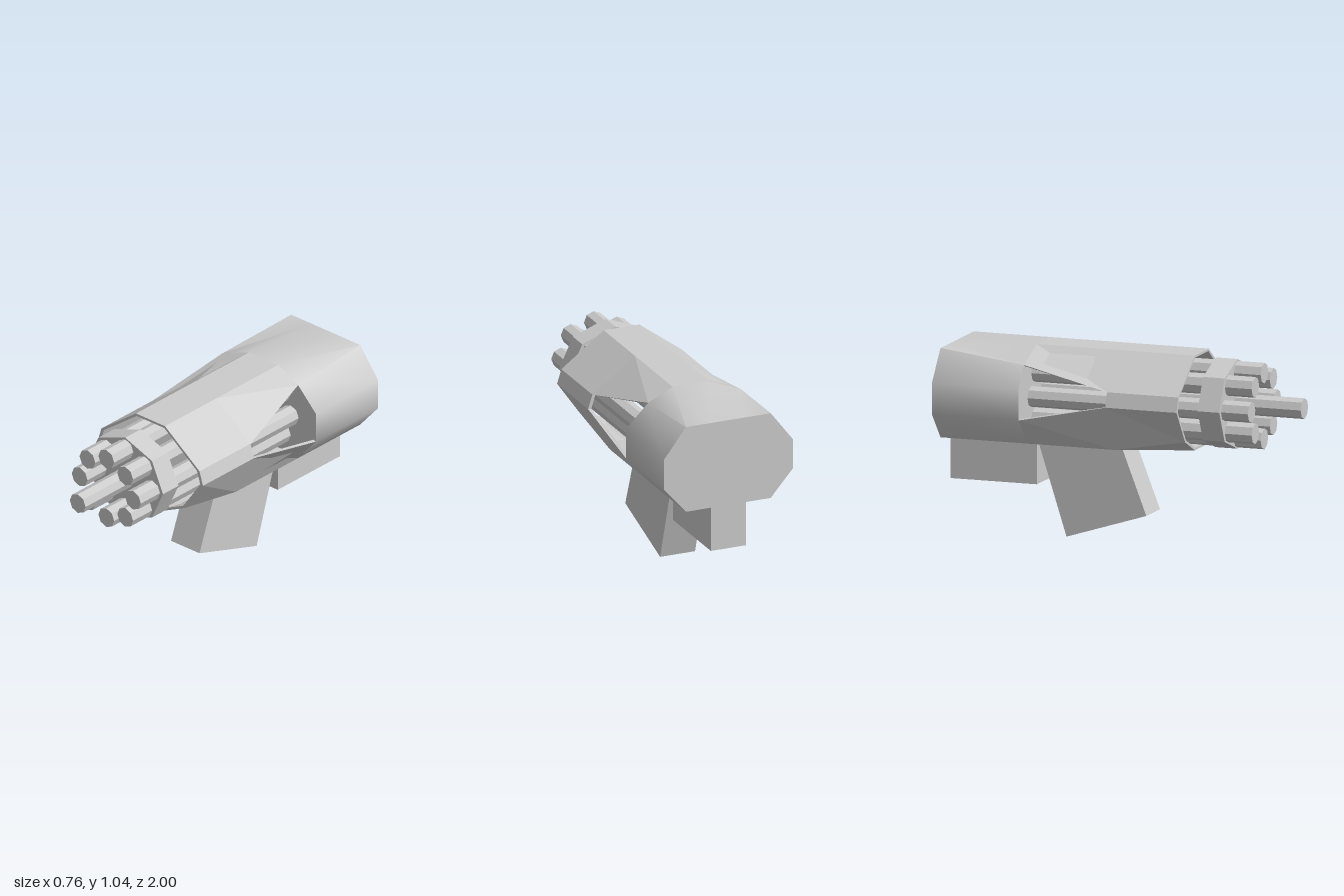
import * as THREE from 'three';
import { toCreasedNormals } from 'three/addons/utils/BufferGeometryUtils.js';

const flat = new THREE.MeshStandardMaterial({ color: 0xcccccc, flatShading: true, side: THREE.DoubleSide });
const smooth = new THREE.MeshStandardMaterial({ color: 0xcccccc });

// Joins closed counter-clockwise cross-sections { z, pts } from front to back and caps the ends.
function loft(sections) {
  const pos = [];
  const put = (s, i) => pos.push(s.pts[i][0], s.pts[i][1], s.z);
  for (let k = 0; k < sections.length - 1; k++) {
    const p = sections[k], q = sections[k + 1], n = p.pts.length;
    for (let i = 0; i < n; i++) {
      const j = (i + 1) % n;
      put(q, i); put(q, j); put(p, j);
      put(q, i); put(p, j); put(p, i);
    }
  }
  const cap = (s, flip) => {
    const contour = s.pts.map(([x, y]) => new THREE.Vector2(x, y));
    for (const [a, b, c] of THREE.ShapeUtils.triangulateShape(contour, [])) {
      for (const i of flip ? [c, b, a] : [a, b, c]) put(s, i);
    }
  };
  cap(sections[0], false);
  cap(sections[sections.length - 1], true);
  const g = new THREE.BufferGeometry();
  g.setAttribute('position', new THREE.Float32BufferAttribute(pos, 3));
  g.computeVertexNormals();
  return g;
}

// Gives an open outline a wall by adding a slightly smaller copy inside it.
const CY = 0.785;
function wall(z, outer) {
  const inner = outer.map(([x, y]) => [x * 0.95, CY + (y - CY) * 0.95]).reverse();
  return { z, pts: [...outer, ...inner] };
}

// Completes a right-hand outline with its mirror image.
const mirrored = (pts) => [...pts, ...pts.map(([x, y]) => [-x, y]).reverse()];

export function createModel() {
  const model = new THREE.Group();
  const add = (name, geometry, material = flat) => {
    const mesh = new THREE.Mesh(geometry, material);
    mesh.name = name;
    model.add(mesh);
    return mesh;
  };

  // Upper shroud, narrowing toward the back so the sides open up
  const top = mirrored([[0.355, 0.865], [0.105, 1.05]]);
  add('upperShroud', loft([
    wall(0.41, top),
    wall(0, top),
    wall(-0.5, [[0.25, 0.98], [0.105, 1.05], [-0.105, 1.05], [-0.3, 0.97]]),
  ]));

  // Lower shroud
  const lower = (z, sideY, cornerY) =>
    wall(z, mirrored([[-0.38, sideY], [-0.25, cornerY], [-0.105, 0.53]]));
  add('lowerShroud', loft([lower(0.41, 0.785, 0.6), lower(0, 0.785, 0.53), lower(-0.5, 0.68, 0.53)]));

  // Side strips closing the front of the shroud
  const right = [[0.38, 0.785], [0.355, 0.865]];
  const left = right.map(([x, y]) => [-x, y]).reverse();
  add('rightShroudSide', loft([wall(0.41, right), wall(0, right)]));
  add('leftShroudSide', loft([wall(0.41, left), wall(0, left)]));

  // Rear housing
  const flank = [[-0.38, 0.85], [-0.38, 0.68], [-0.25, 0.53], [0.25, 0.53], [0.38, 0.68], [0.38, 0.85]];
  const housing = loft([
    { z: -0.5, pts: [[0.25, 0.98], [0.105, 1.05], [-0.105, 1.05], [-0.3, 0.97], ...flank] },
    { z: -1, pts: [[0.25, 1.02], [0.105, 1.02], [-0.105, 1.02], [-0.25, 1.02], ...flank] },
  ]);
  add('rearHousing', toCreasedNormals(housing, 0.85), smooth);

  // Eight-sided barrels: a long one in the middle of a ring of eight
  const barrel = (name, x, y, front) => {
    const length = front + 0.5;
    const g = new THREE.CylinderGeometry(0.057, 0.057, length, 8).rotateX(Math.PI / 2);
    add(name, g).position.set(x, y, front - length / 2);
  };
  barrel('centreBarrel', 0.004, 0.78, 1);
  for (let i = 0; i < 8; i++) {
    const a = (i * Math.PI) / 4;
    barrel('outerBarrel', 0.004 + 0.193 * Math.cos(a), 0.778 + 0.18 * Math.sin(a), 0.77);
  }

  // Clamp around the barrels
  const clamp = new THREE.CylinderGeometry(1, 1, 0.125, 8).rotateX(Math.PI / 2).scale(0.274, 0.246, 1);
  add('barrelClamp', clamp).position.set(0.002, 0.78, 0.553);

  // Slanted grip: a side outline (z, y) extruded across x
  const outline = [[-0.02, 0.54], [-0.5, 0.54], [-0.33, 0.005], [0.13, 0.15]];
  const shape = new THREE.Shape(outline.map(([z, y]) => new THREE.Vector2(-z, y)));
  const grip = new THREE.ExtrudeGeometry(shape, { depth: 0.206, bevelEnabled: false });
  add('grip', grip.translate(0, 0, -0.103).rotateY(Math.PI / 2));

  // Block under the rear housing
  add('rearBlock', new THREE.BoxGeometry(0.206, 0.26, 0.5)).position.set(0, 0.41, -0.75);

  return model;
}
